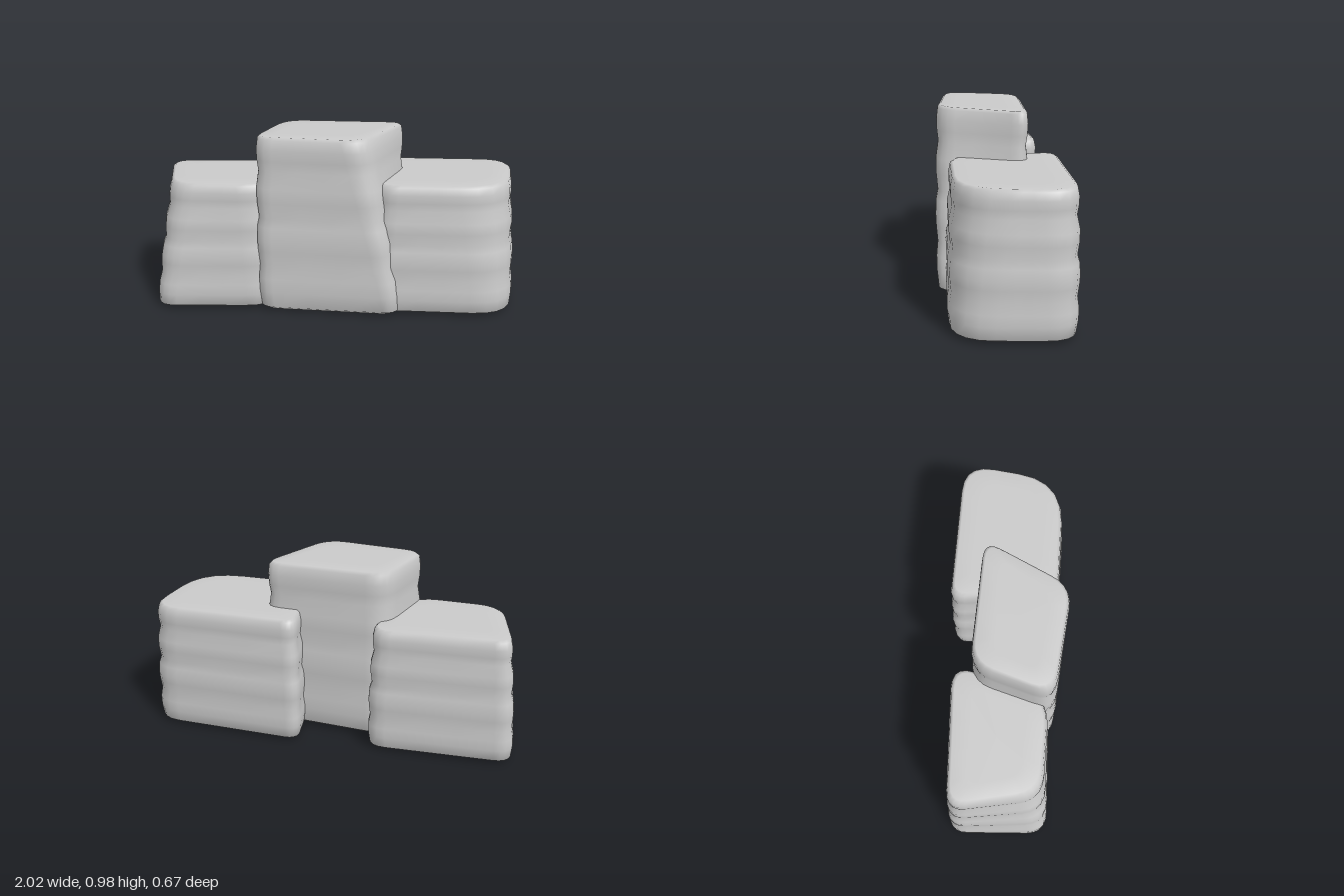
import * as THREE from 'three';

// Strata profile shared by the rocks: [height fraction, inset]
const STRATA = [
  [0, 0.16], [0, 0.09], [0.009, 0.045], [0.03, 0.016], [0.12, 0.006], [0.2, 0.004], [0.275, 0.011],
  [0.36, 0.003], [0.42, 0], [0.5, 0.003], [0.55, 0.013], [0.64, 0.004], [0.72, 0.003],
  [0.81, 0.016], [0.87, 0.009], [0.93, 0.007], [0.985, 0.014], [1, 0.03], [1, 0.12],
];

// Rounded four-cornered outline; corners run back right, back left, front left, front right
function outline(corners, radii) {
  const points = [];
  corners.forEach((c, i) => {
    const corner = new THREE.Vector2(...c);
    const toward = (other) => {
      const d = new THREE.Vector2(...other).sub(corner);
      return corner.clone().addScaledVector(d.normalize(), radii[i]);
    };
    const curve = new THREE.QuadraticBezierCurve(
      toward(corners[(i + 3) % 4]), corner, toward(corners[(i + 1) % 4]));
    points.push(...curve.getPoints(5));
  });
  // Extra points along the straight sides
  return points.flatMap((p, i) => {
    if (i % 6 !== 5) return [p];
    const q = points[(i + 1) % points.length];
    return [p, p.clone().lerp(q, 0.33), p.clone().lerp(q, 0.67)];
  });
}

// Lofts the outline from base to crown through the strata, closed at both ends
function rockGeometry({ base, baseRadii, crown, crownRadii, height }) {
  const low = outline(base, baseRadii);
  const high = outline(crown, crownRadii);
  const n = low.length;
  const positions = [];
  const index = [];
  const centres = [];
  for (const [t, inset] of STRATA) {
    const ring = low.map((p, i) => p.clone().lerp(high[i], t));
    const box = new THREE.Box2().setFromPoints(ring);
    const c = box.getCenter(new THREE.Vector2());
    const s = box.getSize(new THREE.Vector2());
    const sx = 1 - 2 * inset / s.x;
    const sz = 1 - 2 * inset / s.y;
    for (const p of ring) positions.push(c.x + (p.x - c.x) * sx, t * height, c.y + (p.y - c.y) * sz);
    centres.push([c.x, t * height, c.y]);
  }
  const rows = STRATA.length;
  positions.push(...centres[0], ...centres[rows - 1]);
  const bottom = rows * n;
  for (let i = 0; i < n; i++) {
    const j = (i + 1) % n;
    for (let r = 0; r < rows - 1; r++) {
      const a = r * n + i, b = r * n + j;
      index.push(a, a + n, b, b, a + n, b + n);
    }
    index.push(bottom, i, j);
    index.push(bottom + 1, (rows - 1) * n + j, (rows - 1) * n + i);
  }
  const geometry = new THREE.BufferGeometry();
  geometry.setAttribute('position', new THREE.Float32BufferAttribute(positions, 3));
  geometry.setIndex(index);
  geometry.computeVertexNormals();
  return geometry;
}

export function createModel() {
  const stone = new THREE.MeshStandardMaterial({ color: 0xcacaca });
  stone.name = 'grey stone';

  const rocks = {
    // Tall block in the middle, its left side leaning in toward the front
    middleRock: {
      height: 0.975,
      base: [[-0.32, -0.18], [0.38, -0.13], [0.37, 0.345], [-0.44, 0.29]],
      baseRadii: [0.12, 0.1, 0.09, 0.1],
      crown: [[-0.31, -0.18], [0.395, -0.155], [0.15, 0.335], [-0.45, 0.265]],
      crownRadii: [0.12, 0.1, 0.12, 0.12],
    },
    // Low block on the model's left, with a broad rounded front corner
    leftRock: {
      height: 0.725,
      base: [[0.13, -0.34], [1.03, -0.32], [0.97, 0.31], [0.2, 0.29]],
      baseRadii: [0.08, 0.16, 0.22, 0.1],
      crown: [[0.14, -0.33], [1.0, -0.32], [0.92, 0.275], [0.21, 0.27]],
      crownRadii: [0.08, 0.18, 0.27, 0.12],
    },
    // Low block on the model's right, narrowing toward the top
    rightRock: {
      height: 0.71,
      base: [[-1.03, -0.27], [-0.2, -0.305], [-0.32, 0.26], [-1.0, 0.295]],
      baseRadii: [0.1, 0.13, 0.16, 0.11],
      crown: [[-0.98, -0.255], [-0.21, -0.29], [-0.36, 0.25], [-0.88, 0.235]],
      crownRadii: [0.1, 0.13, 0.16, 0.13],
    },
  };

  const group = new THREE.Group();
  group.name = 'rockCluster';
  for (const [name, spec] of Object.entries(rocks)) {
    const mesh = new THREE.Mesh(rockGeometry(spec), stone);
    mesh.name = name;
    group.add(mesh);
  }
  return group;
}
